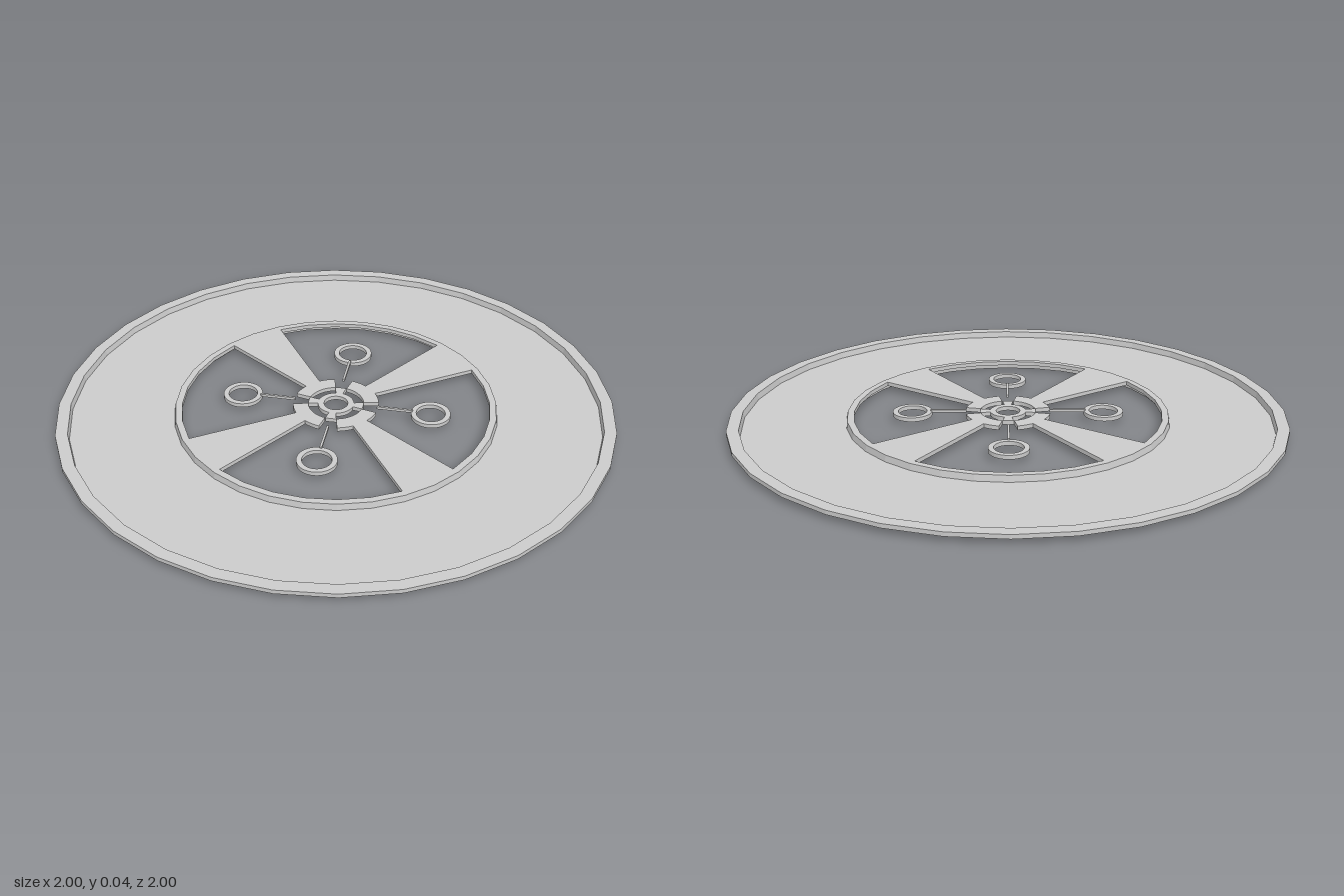
import * as THREE from 'three';

const material = new THREE.MeshStandardMaterial({ color: 0xcccccc, flatShading: true });
const LOW = 0.02, HIGH = 0.035; // shared level of lips, spokes and rings

function addMesh(parent, name, geometry) {
  const mesh = new THREE.Mesh(geometry, material);
  mesh.name = name;
  parent.add(mesh);
  return mesh;
}

// Lay a flat outline down so that it spans the heights y0 to y1
function slab(shape, y0, y1, curveSegments = 8) {
  const g = new THREE.ExtrudeGeometry(shape, { depth: y1 - y0, bevelEnabled: false, curveSegments });
  return g.rotateX(-Math.PI / 2).translate(0, y0, 0);
}

function sector(inner, outer, half) {
  const s = new THREE.Shape();
  s.absarc(0, 0, outer, -half, half, false);
  s.absarc(0, 0, inner, half, -half, true);
  s.closePath();
  return s;
}

function annulus(inner, outer) {
  const s = new THREE.Shape().absarc(0, 0, outer, 0, Math.PI * 2, false);
  s.holes.push(new THREE.Path().absarc(0, 0, inner, 0, Math.PI * 2, true));
  return s;
}

// Spoke that flares at the hub into a curved foot
function spokeShape() {
  const half = THREE.MathUtils.degToRad(11), foot = THREE.MathUtils.degToRad(33);
  const s = new THREE.Shape();
  s.absarc(0, 0, 0.558, -half, half, false);
  s.absarc(0, 0, 0.155, half, foot, false);
  s.absarc(0, 0, 0.1, foot, -foot, true);
  s.absarc(0, 0, 0.155, -foot, -half, false);
  s.closePath();
  return s;
}

export function createModel() {
  const model = new THREE.Group();
  model.name = 'spokedDisc';

  // Pressed disc: sunken floor between raised inner and outer lips
  const profile = [
    [0.555, LOW], [0.574, LOW], [0.576, 0], [0.96, 0], [0.962, LOW], [1, LOW],
    [1, HIGH], [0.957, HIGH], [0.953, 0.012], [0.583, 0.012], [0.579, HIGH], [0.555, HIGH], [0.555, LOW],
  ].map(([r, y]) => new THREE.Vector2(r, y));
  addMesh(model, 'disc', new THREE.LatheGeometry(profile, 32));

  // Hub ring at the centre
  addMesh(model, 'hubRing', slab(annulus(0.043, 0.065), LOW, HIGH, 24));

  for (let i = 0; i < 4; i++) {
    const quarter = new THREE.Group();
    quarter.name = `quarter${i + 1}`;
    quarter.rotation.y = i * Math.PI / 2;
    model.add(quarter);

    // Diagonal spoke
    addMesh(quarter, 'spoke', slab(spokeShape(), LOW, HIGH)).rotation.y = Math.PI / 4;
    // Small tab on the hub
    addMesh(quarter, 'hubTab', slab(sector(0.062, 0.1, 0.2), LOW, HIGH));
    // Ring in the opening, with its thin rod
    addMesh(quarter, 'ring', slab(annulus(0.052, 0.071), LOW, HIGH, 24)).position.x = 0.345;
    addMesh(quarter, 'rod', new THREE.BoxGeometry(0.13, 0.01, 0.008)).position.set(0.215, 0.035, 0);
  }
  return model;
}
